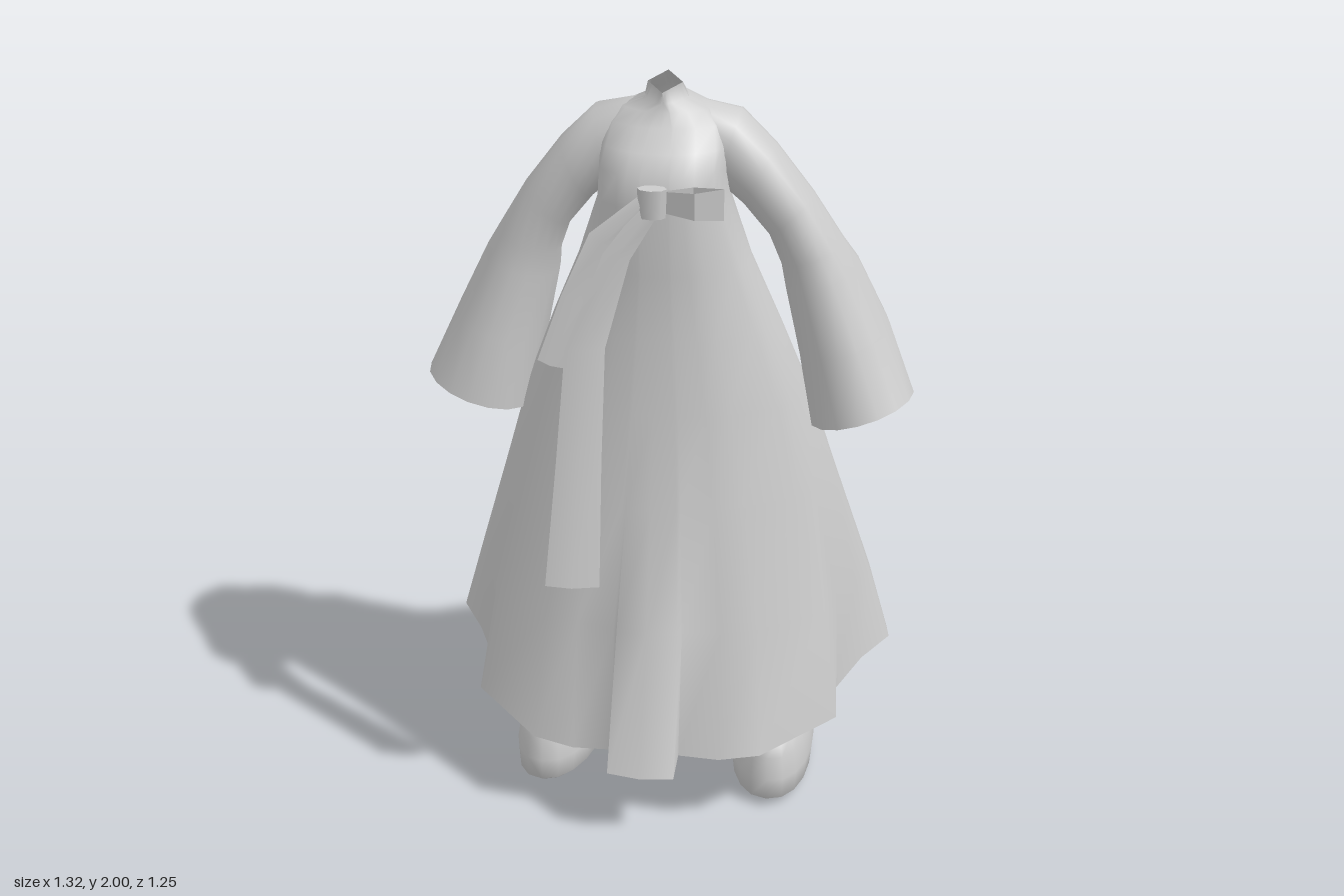
import * as THREE from 'three';
import { toCreasedNormals } from 'three/addons/utils/BufferGeometryUtils.js';

const material = new THREE.MeshStandardMaterial({ color: 0xcccccc, side: THREE.DoubleSide });

// Skin a list of rings (bottom to top, counter-clockwise from above).
function loft(name, rings, { closed = true, capStart = false, capEnd = false, crease = 1.2 } = {}) {
  const n = rings[0].length;
  const pos = rings.flat(2);
  const index = [];
  for (let i = 0; i < rings.length - 1; i++) {
    for (let j = 0; j < (closed ? n : n - 1); j++) {
      const k = (j + 1) % n;
      const a = i * n + j, b = i * n + k, c = b + n, d = a + n;
      index.push(a, b, c, a, c, d);
    }
  }
  const last = (rings.length - 1) * n;
  for (let j = 1; j < n - 1; j++) {
    if (capStart) index.push(0, j + 1, j);
    if (capEnd) index.push(last, last + j, last + j + 1);
  }
  const geo = new THREE.BufferGeometry();
  geo.setAttribute('position', new THREE.Float32BufferAttribute(pos, 3));
  geo.setIndex(index);
  const mesh = new THREE.Mesh(toCreasedNormals(geo, crease), material);
  mesh.name = name;
  return mesh;
}

const angles = (n) => Array.from({ length: n }, (_, i) => (i / n) * Math.PI * 2);
const power = (v, e) => Math.sign(v) * Math.abs(v) ** e;

// Gown: pleated hem blending upward into oval rings, then a four-cornered open collar
function makeGown() {
  // hem from front centre to back centre: x, z, y
  const half = [
    [0, 0.62, 0.2], [0.09, 0.605, 0.2], [0.09, 0.52, 0.22], [0.2, 0.525, 0.22],
    [0.31, 0.51, 0.235], [0.5, 0.34, 0.27], [0.485, 0.23, 0.29], [0.55, 0.12, 0.335],
    [0.62, 0.02, 0.355], [0.61, -0.03, 0.36], [0.5, -0.17, 0.37], [0.47, -0.24, 0.38],
    [0.48, -0.35, 0.39], [0.3, -0.53, 0.4], [0.18, -0.52, 0.4], [0.09, -0.53, 0.4],
    [0.09, -0.59, 0.41], [0, -0.63, 0.415],
  ];
  const hem = [...half, ...half.slice(1, -1).reverse().map(([x, z, y]) => [-x, z, y])];
  // front y, back y, half width, front z, back z, front pleat, back pleat,
  // corner exponent (below 1 boxier, 2 a diamond)
  const rows = [
    [0.57, 0.57, 0.55, 0.482, -0.455, 0.15, 0.6, 1],
    [0.9, 0.9, 0.455, 0.412, -0.265, 0, 0, 1],
    [1.15, 1.15, 0.38, 0.37, -0.15, 0, 0, 1],
    [1.35, 1.35, 0.303, 0.347, -0.07, 0, 0, 1],
    [1.52, 1.52, 0.23, 0.335, -0.015, 0, 0, 0.95],
    [1.7, 1.7, 0.168, 0.345, 0.02, 0, 0, 0.8],
    [1.78, 1.78, 0.165, 0.335, 0.015, 0, 0, 0.8],
    [1.83, 1.83, 0.165, 0.295, 0.005, 0, 0, 0.85],
    [1.88, 1.88, 0.155, 0.235, 0.01, 0, 0, 0.9],
    [1.915, 1.915, 0.12, 0.212, 0.025, 0, 0, 1],
    [1.935, 1.95, 0.058, 0.208, 0.045, 0, 0, 1.4],
    [1.965, 2.0, 0.045, 0.21, 0.11, 0, 0, 2],
  ];
  const rings = rows.map(([yf, yb, w, f, b, pf, pb, e]) => hem.map(([hx, hz]) => {
    const a = Math.atan2(hx, hz), s = Math.sin(a), c = Math.cos(a);
    const ps = power(s, e), pc = power(c, e);
    const pleat = THREE.MathUtils.lerp(pb, pf, (1 + c) / 2);
    return [
      w * ps + pleat * (hx - 0.6 * s),
      (yf + yb) / 2 + ((yf - yb) / 2) * pc,
      (f + b) / 2 + ((f - b) / 2) * pc + pleat * (hz - 0.54 * c),
    ];
  }));
  return loft('gown', [hem.map(([x, z, y]) => [x, y, z]), ...rings]);
}

// Wide sleeve, pointed behind at the elbow, with the wrist inside it
function makeArm() {
  const arm = new THREE.Group();
  // outer x, y, inner x, y, front z, back z, back pointedness, from cuff to shoulder
  const rows = [
    [0.66, 1.155, 0.385, 1.06, 0.26, -0.03, 1.2],
    [0.585, 1.325, 0.345, 1.245, 0.235, -0.13, 1.4],
    [0.5, 1.495, 0.305, 1.43, 0.205, -0.078, 1.1],
    [0.46, 1.56, 0.295, 1.5, 0.2, -0.025, 1],
    [0.38, 1.69, 0.265, 1.58, 0.2, 0.01, 1],
    [0.28, 1.82, 0.2, 1.66, 0.21, 0.015, 1],
    [0.19, 1.907, 0.14, 1.71, 0.212, 0.005, 1],
    [0.05, 1.94, 0.08, 1.72, 0.195, 0.04, 1],
  ];
  const rings = rows.map(([ox, oy, ix, iy, f, b, point]) => angles(16).map((a) => {
    const c = Math.cos(a) / 2;
    const s = power(Math.sin(a), c < 0 ? point : 1) / 2;
    return [
      (ox + ix) / 2 + (ox - ix) * s,
      (oy + iy) / 2 + (oy - iy) * s,
      (f + b) / 2 + (f - b) * c,
    ];
  }));
  const sleeve = loft('sleeve', rings);

  const path = new THREE.LineCurve3(new THREE.Vector3(0.515, 1.115, 0.14), new THREE.Vector3(0.4, 1.45, 0.08));
  const wrist = new THREE.Mesh(new THREE.TubeGeometry(path, 1, 0.055, 8), material);
  wrist.name = 'wrist';
  arm.add(sleeve, wrist);
  return arm;
}

// Soft boot with a domed toe: rings tilt to follow the dip of the instep
function makeBoot() {
  // front y, back y, front z, back z, half width, centre x
  const rows = [
    [0.005, 0, 0.37, -0.08, 0.095, 0.305],
    [0.025, 0.015, 0.4, -0.1, 0.112, 0.305],
    [0.08, 0.06, 0.395, -0.11, 0.117, 0.305],
    [0.145, 0.1, 0.385, -0.11, 0.108, 0.305],
    [0.19, 0.13, 0.365, -0.105, 0.095, 0.303],
    [0.195, 0.155, 0.31, -0.1, 0.088, 0.3],
    [0.175, 0.185, 0.24, -0.095, 0.085, 0.296],
    [0.225, 0.23, 0.135, -0.085, 0.083, 0.292],
    [0.34, 0.34, 0.13, -0.07, 0.083, 0.29],
    [0.5, 0.5, 0.14, -0.06, 0.09, 0.28],
  ];
  const rings = rows.map(([yf, yb, f, b, w, cx]) => angles(18).map((a) => {
    const c = Math.cos(a), toe = Math.max(0, c) * Math.max(0, f - 0.15);
    return [
      cx + w * power(Math.sin(a), 0.9) + toe * 0.05,
      (yf + yb) / 2 + ((yf - yb) / 2) * c,
      (f + b) / 2 + ((f - b) / 2) * c,
    ];
  }));
  return loft('boot', rings, { capStart: true, capEnd: true, crease: 2 });
}

// Flat ribbon from pairs of edge points, with a shallow fold along the middle
function ribbon(name, pairs) {
  const rings = pairs.map(([p, q]) => [
    p, [(p[0] + q[0]) / 2, (p[1] + q[1]) / 2, (p[2] + q[2]) / 2 + 0.012], q,
  ]);
  return loft(name, rings, { closed: false });
}

// Bow: knot, one loop and two hanging tails
function makeBow() {
  const bow = new THREE.Group();
  bow.name = 'bow';
  const knot = new THREE.Mesh(new THREE.CylinderGeometry(0.038, 0.034, 0.075, 8), material);
  knot.name = 'knot';
  knot.scale.z = 0.7;
  knot.position.set(0, 1.728, 0.37);

  const outline = [[0.02, 0.365], [0.11, 0.395], [0.18, 0.365], [0.1, 0.34]];
  const loopRing = (side) => outline.map(([x, z]) => {
    const spread = 0.025 + (x / 0.18) * 0.016;
    return [x, 1.73 + side * spread, z];
  });
  const loop = loft('bowLoop', [loopRing(-1), loopRing(1)], { crease: 0.4 });

  const shortTail = ribbon('shortTail', [
    [[-0.285, 1.32, 0.445], [-0.22, 1.29, 0.42]],
    [[-0.225, 1.49, 0.42], [-0.145, 1.46, 0.4]],
    [[-0.155, 1.65, 0.395], [-0.085, 1.6, 0.38]],
    [[-0.02, 1.755, 0.365], [-0.02, 1.7, 0.37]],
  ]);
  const longTail = ribbon('longTail', [
    [[-0.26, 0.72, 0.54], [-0.12, 0.715, 0.515]],
    [[-0.235, 1.05, 0.487], [-0.12, 1.05, 0.462]],
    [[-0.215, 1.35, 0.44], [-0.115, 1.35, 0.418]],
    [[-0.12, 1.6, 0.402], [-0.055, 1.58, 0.385]],
    [[-0.03, 1.72, 0.375], [0.01, 1.69, 0.37]],
  ]);
  bow.add(knot, loop, shortTail, longTail);
  return bow;
}

export function createModel() {
  const model = new THREE.Group();
  model.name = 'gownOutfit';
  model.add(makeGown(), makeBow());
  for (const [side, sx] of [['left', 1], ['right', -1]]) {
    const arm = makeArm(), boot = makeBoot();
    arm.name = side + 'Arm';
    boot.name = side + 'Boot';
    arm.scale.x = boot.scale.x = sx;
    model.add(arm, boot);
  }
  return model;
}
